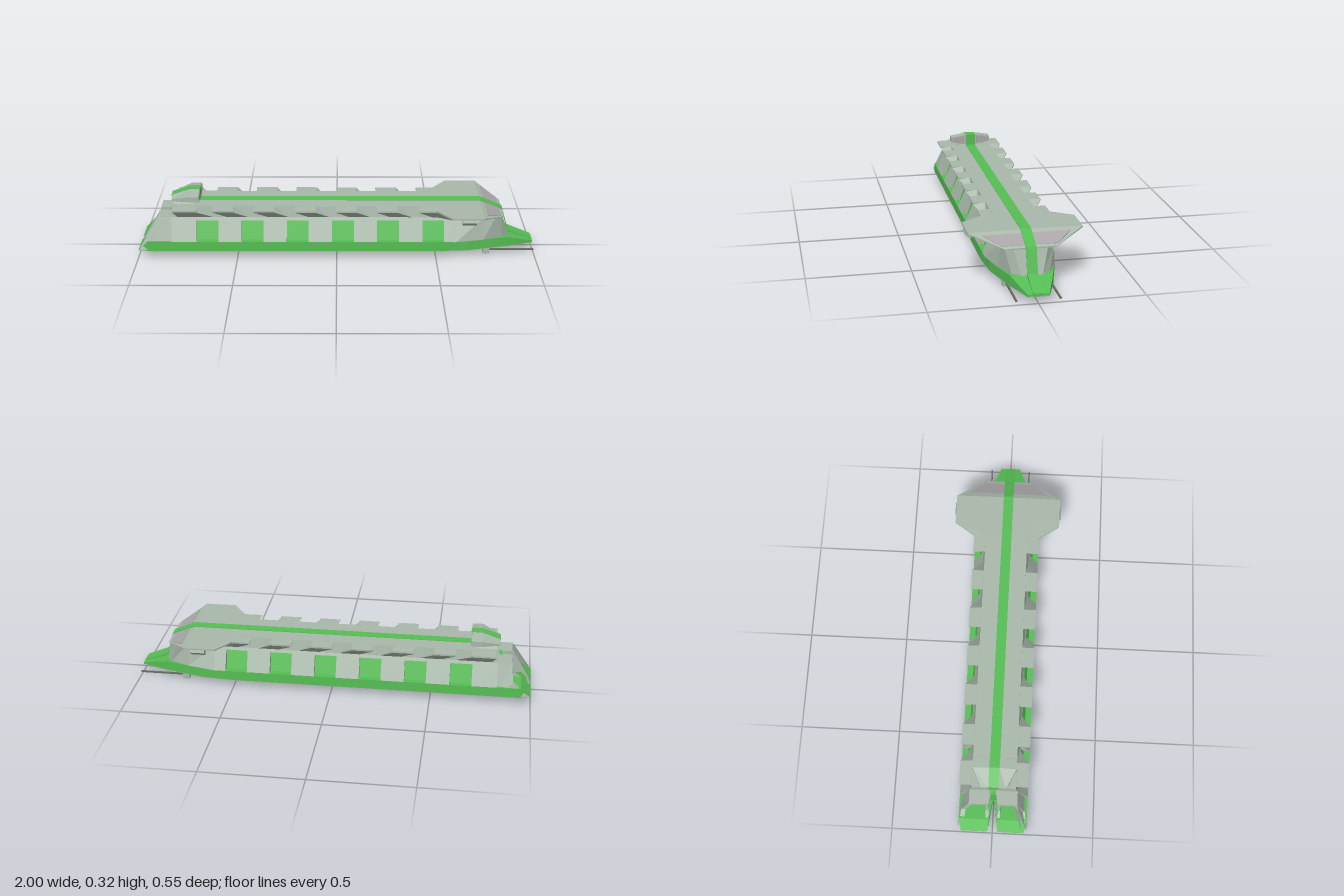
import * as THREE from 'three';

const mat = (color) => new THREE.MeshStandardMaterial({ color, flatShading: true });

export function createModel() {
  const root = new THREE.Group();
  const plate = mat(0xa9b8aa), green = mat(0x56bd54), pane = mat(0xa9a5a8), dark = mat(0x667066);

  // Skin a row of closed loops of [x, y, z] and cap both ends
  function loft(name, material, loops) {
    const n = loops[0].length, index = [], last = (loops.length - 1) * n;
    for (let i = 0; i < loops.length - 1; i++) {
      for (let j = 0; j < n; j++) {
        const a = i * n + j, b = i * n + (j + 1) % n, c = b + n, d = a + n;
        index.push(a, d, c, a, c, b);
      }
    }
    for (let k = 1; k < n - 1; k++) index.push(0, k, k + 1, last, last + k + 1, last + k);
    const indexed = new THREE.BufferGeometry();
    indexed.setAttribute('position', new THREE.Float32BufferAttribute(loops.flat(2), 3));
    indexed.setIndex(index);
    const geo = indexed.toNonIndexed();
    geo.computeVertexNormals();
    const mesh = new THREE.Mesh(geo, material);
    mesh.name = name;
    root.add(mesh);
    return mesh;
  }

  // Symmetric section at x: half profile of [z, y, own x], bottom to top
  const sym = (x, ...half) => [
    ...half.map(([z, y, px = x]) => [px, y, z]),
    ...half.slice().reverse().map(([z, y, px = x]) => [px, y, -z]),
  ];

  // Same part on both sides
  function pair(name, material, loops) {
    loft(name + 'Left', material, loops);
    loft(name + 'Right', material, loops.map((l) => l.map(([x, y, z]) => [x, y, -z]).reverse()));
  }

  // Box between two corners, on both sides
  const boxPair = (name, material, x0, x1, y0, y1, z0, z1) => pair(name, material,
    [z0, z1].map((z) => [[x0, y0, z], [x0, y1, z], [x1, y1, z], [x1, y0, z]]));

  // Lower hull: green sides, grey bottom with a centre stripe
  const plan = [[-0.83, 0.168, 0.085], [0.5, 0.168, 0.085], [0.66, 0.155, 0.085],
    [0.86, 0.1, 0.085], [1, 0.05, 0.045]];
  loft('lowerHull', green, plan.map(([x, z, y]) => sym(x, [z, 0.036], [z, y])));
  loft('bottomPlate', plate, plan.map(([x, z]) => sym(x, [z, 0.034], [z, 0.036])));
  loft('bottomStripe', green, [-0.83, 0.999].map((x) => sym(x, [0.025, 0.032], [0.025, 0.035])));

  // Stern base split by a V notch
  const stern = [[-1, 0.025, 0.155, 0.037], [-0.95, 0.018, 0.168, 0.085], [-0.83, 0.002, 0.168, 0.085]];
  const pod = (x, zi, zo, y0, y1) => [[x, y0, zo], [x, y1, zo], [x, y1, zi], [x, y0, zi]];
  pair('sternBase', green, stern.map(([x, zi, zo, y]) => pod(x, zi, zo, 0.036, y)));
  pair('sternBottom', plate, stern.map(([x, zi, zo]) => pod(x, zi, zo, 0.034, 0.036)));

  // Stern bays: cheeks, lintel and recessed back wall
  const wallZ = (y) => 0.168 - Math.max(0, y - 0.085) * 0.435;
  const cheek = [[-0.995, 0.04], [-0.91, 0.11], [-0.9, 0.2], [-0.83, 0.2], [-0.83, 0.04]];
  pair('sternOuterCheek', plate, [-0.022, 0].map((d) => cheek.map(([x, y]) => [x, y, wallZ(y) + d])));
  pair('sternInnerCheek', plate, [0.022, 0.036].map((z) => cheek.map(([x, y]) => [x, y, z])));
  pair('sternLintel', plate, [
    pod(-0.9, 0.022, 0.118, 0.175, 0.2), pod(-0.83, 0.01, 0.118, 0.175, 0.2)]);
  boxPair('sternBackWall', plate, -0.87, -0.83, 0.08, 0.185, 0.03, 0.11);
  loft('sternCentre', green, [-0.85, -0.82].map((x) => sym(x, [0.03, 0.05], [0.03, 0.2])));

  // Sloping side walls between six recessed green windows
  const wall = (x) => sym(x, [0.168, 0.085], [0.118, 0.2]);
  let from = -0.83;
  for (let i = 0; i < 6; i++) {
    const x0 = -0.705 + i * 0.227, x1 = x0 + 0.11;
    loft('wallSegment', plate, [wall(from), wall(x0)]);
    loft('window', green, [x0, x1].map((x) => sym(x, [0.14, 0.08], [0.104, 0.186])));
    loft('windowLintel', plate, [x0, x1].map((x) => sym(x, [0.1245, 0.185], [0.118, 0.2])));
    from = x1;
  }
  // Faceted nose continuing the walls
  loft('nose', plate, [wall(from), wall(0.6),
    sym(0.74, [0.135, 0.085], [0.118, 0.2]),
    sym(0.84, [0.09, 0.085], [0.115, 0.2, 0.8]),
    sym(0.87, [0.05, 0.085], [0.08, 0.205, 0.835])]);

  // Roof spine with raked side flaps
  loft('roof', plate, [-0.83, 0.52].map((x) => sym(x, [0.118, 0.199], [0.108, 0.255])));
  const flap = (name, t0, t1, r0, r1) => pair(name, plate, [
    [[r0, 0.2, 0.105], [t0, 0.254, 0.105], [t1, 0.254, 0.105], [r1, 0.2, 0.105]],
    [[r0, 0.2, 0.118], [t0, 0.254, 0.118], [t1, 0.254, 0.118], [r1, 0.2, 0.118]],
    [[t0, 0.244, 0.168], [t0, 0.252, 0.168], [t1, 0.252, 0.168], [t1, 0.244, 0.168]],
  ]);
  flap('rearRoofFlap', -0.82, -0.7, -0.8, -0.62);
  for (let i = 0; i < 5; i++) {
    const x = -0.62 + i * 0.205;
    flap('roofFlap', x, x + 0.105, x + 0.07, x + 0.175);
  }
  flap('frontRoofFlap', 0.41, 0.53, 0.48, 0.54);

  // Winged forward roof, sloping down to the nose
  const deck = (x, tip) => sym(x, [0.118, 0.2], [tip, 0.245], [tip, 0.253], [0.1, 0.255]);
  loft('forwardRoof', plate, [deck(0.5, 0.168), deck(0.57, 0.27), deck(0.725, 0.27),
    sym(0.84, [0.105, 0.2], [0.118, 0.203], [0.118, 0.205], [0.1, 0.207])]);
  loft('frontWindow', pane, [
    sym(0.751, [0.205, 0.235], [0.205, 0.246]),
    sym(0.823, [0.13, 0.205], [0.13, 0.216])]);
  pair('wingtipFin', plate, [
    [[0.62, 0.245, 0.235], [0.62, 0.252, 0.268], [0.62, 0.232, 0.275], [0.62, 0.211, 0.25]].reverse(),
    [[0.69, 0.245, 0.235], [0.69, 0.252, 0.268], [0.69, 0.232, 0.275], [0.69, 0.211, 0.25]].reverse(),
  ]);

  // Green stripe along the roof and down the bow
  loft('roofStripe', green, [[-0.7, 0.257], [0.73, 0.258], [0.842, 0.212], [0.876, 0.094], [0.999, 0.049]]
    .map(([x, y]) => sym(x, [0.025, y - 0.012], [0.025, y])));

  // Rear bridge: tapered block, green centre and two front panes
  const bridge = (x, w, y0, y1) => sym(x, [0.025, y0], [w, y0 + 0.015], [w, y1 - 0.013], [0.025, y1]);
  loft('bridge', plate, [bridge(-0.835, 0.06, 0.25, 0.285), bridge(-0.745, 0.107, 0.26, 0.315),
    bridge(-0.695, 0.107, 0.26, 0.315)]);
  loft('bridgeNeck', plate, [-0.82, -0.72].map((x) => sym(x, [0.09, 0.25], [0.05, 0.275])));
  loft('bridgeStripe', green, [[-0.837, 0.252, 0.287], [-0.745, 0.258, 0.317], [-0.692, 0.258, 0.317]]
    .map(([x, y0, y1]) => sym(x, [0.025, y0], [0.025, y1])));
  pair('bridgePane', pane, [-0.7, -0.692].map((x) =>
    [[x, 0.27, 0.036], [x, 0.277, 0.098], [x, 0.3, 0.098], [x, 0.308, 0.036]]));

  // Chin guns
  boxPair('gunMount', plate, 0.742, 0.775, 0, 0.035, 0.085, 0.117);
  boxPair('gunBarrel', dark, 0.77, 1, 0.015, 0.023, 0.097, 0.105);

  return root;
}
